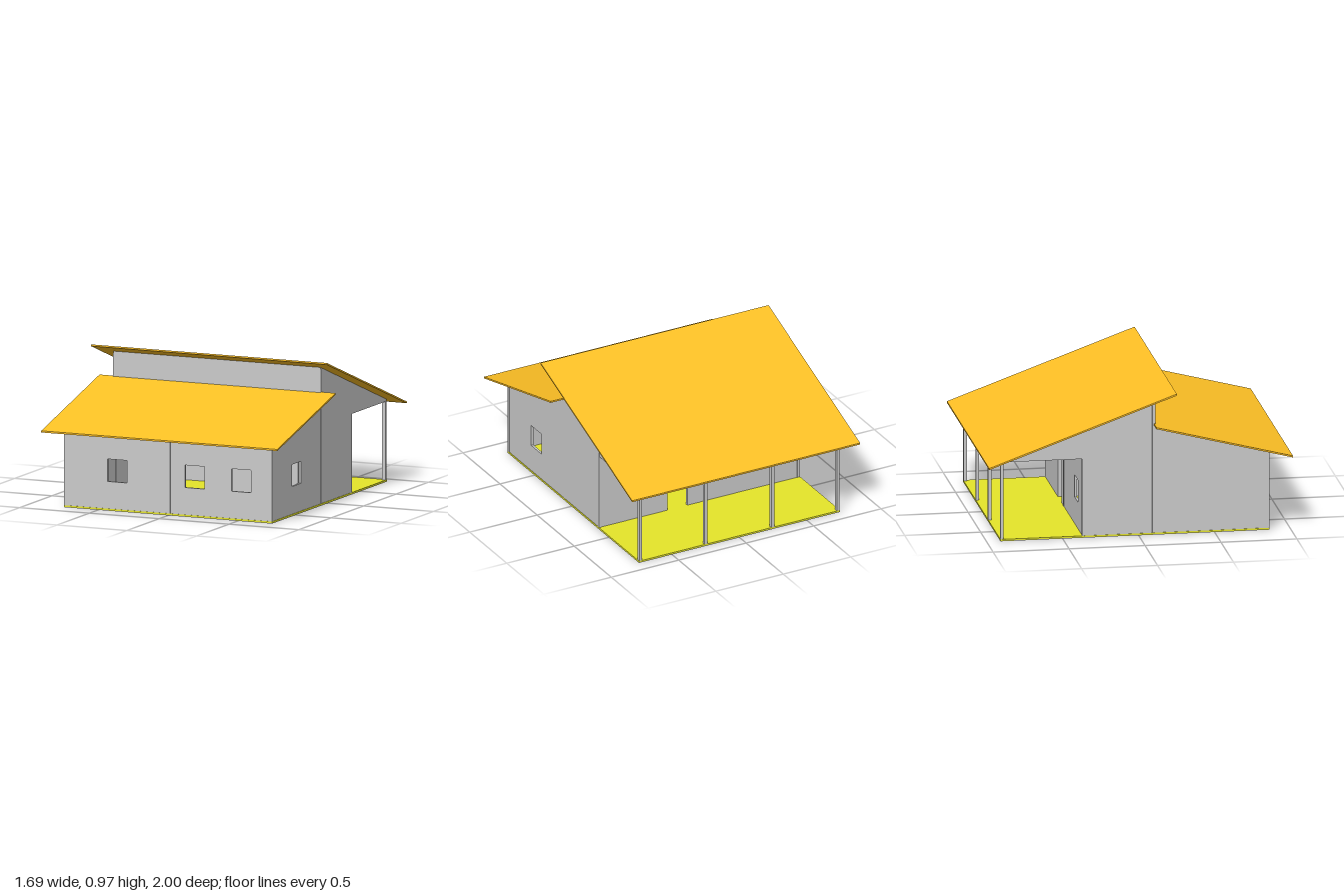
import * as THREE from 'three';

const grey = new THREE.MeshStandardMaterial({ color: 0xcccccc });
const gold = new THREE.MeshStandardMaterial({ color: 0xffc125 });
const yellow = new THREE.MeshStandardMaterial({ color: 0xe5e52a });

const W = 0.742;          // half width of the house
const FRONT = 0.86, MID = 0.11, BACK = -0.37, PORCH = -0.91;
const T = 0.016;          // wall thickness
const BASE = 0.013;       // top of the floor

// Underside heights of the two roof slopes
const lowRoof = z => 0.737 - (z - 0.1) * 0.2556;
const highRoof = z => 0.957 + (z - 0.235) * 0.362;

export function createModel() {
  const house = new THREE.Group();
  house.name = 'house';

  const add = (name, geometry, material = grey) => {
    const mesh = new THREE.Mesh(geometry, material);
    mesh.name = name;
    house.add(mesh);
    return mesh;
  };

  // Box given by its limits
  const block = (name, x0, x1, y0, y1, z0, z1, material) =>
    add(name, new THREE.BoxGeometry(x1 - x0, y1 - y0, z1 - z0)
      .translate((x0 + x1) / 2, (y0 + y1) / 2, (z0 + z1) / 2), material);

  const outline = (points, holes) => {
    const shape = new THREE.Shape(points.map(p => new THREE.Vector2(...p)));
    for (const [a0, a1, b0, b1] of holes) {
      shape.holes.push(new THREE.Path([[a0, b0], [a0, b1], [a1, b1], [a1, b0]]
        .map(p => new THREE.Vector2(...p))));
    }
    return shape;
  };

  // Profile in z and y, stretched from x0 to x1
  const sideProfile = (name, points, x0, x1, material, holes = []) =>
    add(name, new THREE.ExtrudeGeometry(outline(points, holes), { depth: x1 - x0, bevelEnabled: false })
      .rotateY(-Math.PI / 2).translate(x1, 0, 0), material);

  // Wall facing front or back, from z0 to z0 + T
  const crossWall = (name, points, z0, holes = []) =>
    add(name, new THREE.ExtrudeGeometry(outline(points, holes), { depth: T, bevelEnabled: false })
      .translate(0, 0, z0));

  // Floor slab with a coloured top
  block('slabUnderside', -W - 0.003, W + 0.003, 0, 0.003, PORCH, FRONT + 0.003);
  block('floor', -W - 0.003, W + 0.003, 0.003, BASE, PORCH, FRONT + 0.003, yellow);

  // Roof slopes
  const roof = (name, line, z0, z1) => sideProfile(name,
    [[z0, line(z0)], [z1, line(z1)], [z1, line(z1) + 0.011], [z0, line(z0) + 0.011]],
    -0.845, 0.845, gold);
  roof('frontRoof', lowRoof, 0.1, 1);
  roof('backRoof', highRoof, -1, 0.235);

  // Side walls with the gable over the porch; only the left one has a window
  const sidePoints = [
    [FRONT, BASE], [FRONT, lowRoof(FRONT)], [MID, lowRoof(MID)], [MID, highRoof(MID)],
    [PORCH, highRoof(PORCH)], [PORCH, 0.53], [BACK, 0.53], [BACK, BASE]
  ];
  sideProfile('leftWall', sidePoints, W - T, W, grey, [[0.41, 0.55, 0.195, 0.34]]);
  sideProfile('rightWall', sidePoints, -W, -W + T, grey);

  // Front wall with three windows
  const inner = W - T;
  const wallRect = (top, y0 = BASE) => [[-inner, y0], [inner, y0], [inner, top], [-inner, top]];
  crossWall('frontWall', wallRect(lowRoof(FRONT)), FRONT - T,
    [-0.435, 0.12, 0.453].map(x => [x, x + 0.141, 0.192, 0.34]));

  // Back wall: doorway down to the floor, one window and one small high window
  crossWall('backWall', [
    [-inner, BASE], [0.09, BASE], [0.09, 0.42], [0.237, 0.42], [0.237, BASE],
    [inner, BASE], [inner, highRoof(BACK)], [-inner, highRoof(BACK)]
  ], BACK, [[-0.575, -0.435, 0.192, 0.34], [0.47, 0.61, 0.33, 0.42]]);

  // Upper wall between the two roofs
  crossWall('upperWall', wallRect(highRoof(MID), 0.55), MID - T);

  // Inner partitions
  block('crossPartition', 0.23, inner, BASE, 0.55, 0.41, 0.422);
  block('stubPartition', -inner, -0.67, BASE, 0.55, 0.41, 0.422);
  block('longPartition', 0.237, 0.25, BASE, 0.55, BACK + T, 0.41);

  // Porch ceiling
  block('porchCeiling', -inner, inner, 0.53, 0.538, PORCH + 0.004, BACK);

  // Corner and middle posts in the walls, just proud of their faces
  const post = (name, x, z, top, s = 0.01) =>
    block(name, x - s, x + s, BASE, top, z - s, z + s);
  for (const side of [-1, 1]) {
    const x = side * (W - 0.008);
    post('frontCornerPost', x, FRONT - 0.008, lowRoof(FRONT));
    post('middlePost', x, MID - 0.01, highRoof(MID - 0.02) - 0.005);
    post('backCornerPost', x, BACK + 0.008, highRoof(BACK) - 0.005);
  }
  post('frontMiddlePost', 0.005, FRONT - 0.008, lowRoof(FRONT));
  post('backMiddlePost', 0.005, BACK + 0.008, highRoof(BACK) - 0.005);

  // Porch posts
  for (const x of [-0.732, -0.247, 0.247, 0.732]) {
    post('porchPost', x, PORCH + 0.011, 0.535, 0.011);
  }

  return house;
}
